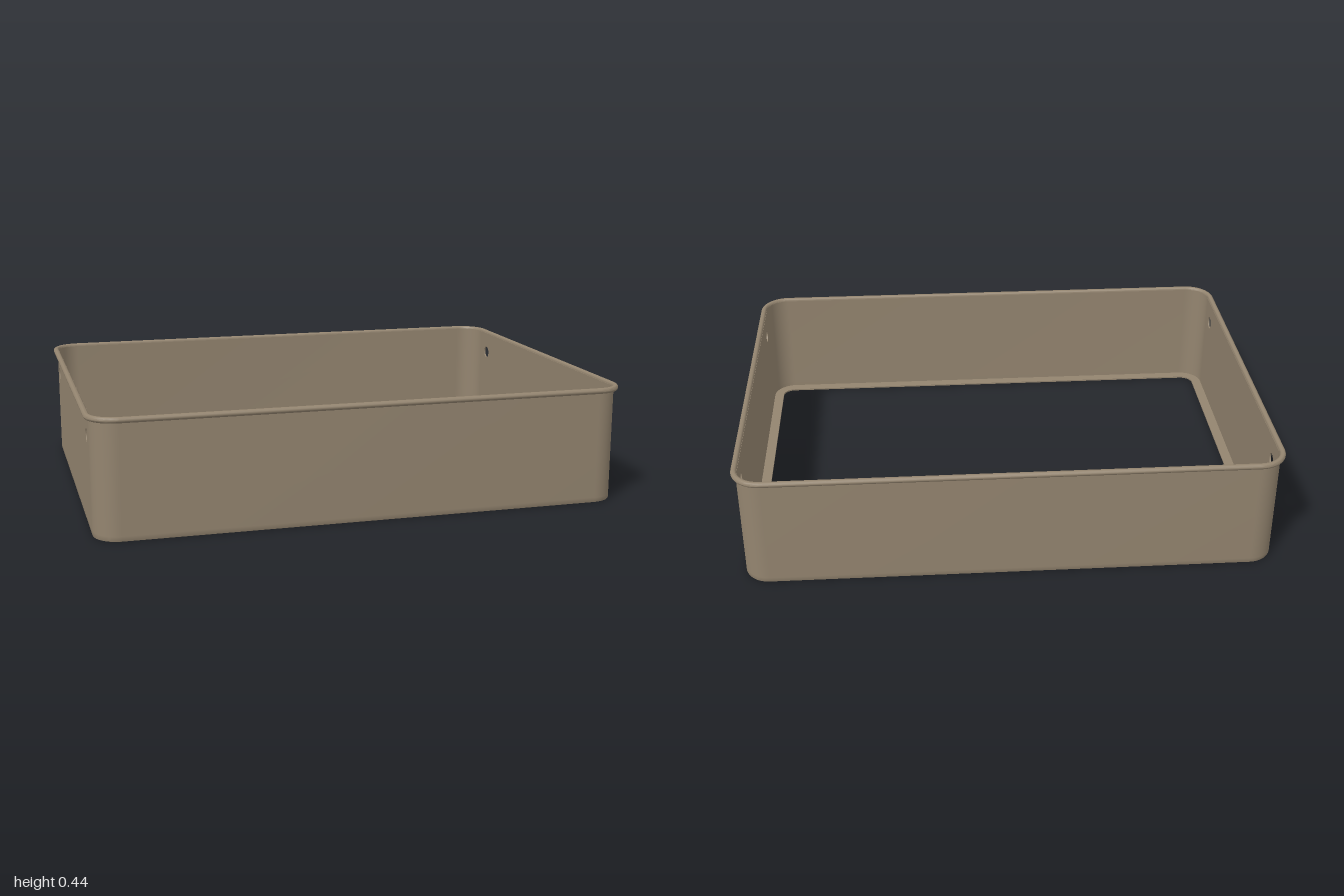
import * as THREE from 'three';
import { toCreasedNormals } from 'three/addons/utils/BufferGeometryUtils.js';

// Centres of the rounded corners; every section is offset outward from here
const CX = 0.89, CZ = 0.64;
const OUTER = 0.093, INNER = 0.087;
const WALL_BOTTOM = 0.02, WALL_TOP = 0.432;
const ARC_STEPS = 12;

// Path stations: corner centre plus direction, walking round the frame
function corners(count) {
  const stations = [];
  for (let k = 0; k < count; k++) {
    const sx = k === 0 || k === 3 ? 1 : -1;
    const sz = k < 2 ? 1 : -1;
    for (let i = 0; i <= ARC_STEPS; i++) {
      const a = (k + i / ARC_STEPS) * Math.PI / 2;
      stations.push([sx * CX, sz * CZ, Math.cos(a), Math.sin(a)]);
    }
  }
  return stations;
}

// Sweep a section of [offset, y] points along the stations
function sweep(section, stations) {
  const pos = [], index = [], n = section.length;
  for (const [x, z, c, s] of stations)
    for (const [d, y] of section) pos.push(x + d * c, y, z + d * s);
  for (let i = 0; i < stations.length - 1; i++)
    for (let j = 0; j < n - 1; j++) {
      const a = i * n + j, b = a + n;
      index.push(a, a + 1, b, a + 1, b + 1, b);
    }
  const geo = new THREE.BufferGeometry();
  geo.setAttribute('position', new THREE.Float32BufferAttribute(pos, 3));
  geo.setIndex(index);
  return toCreasedNormals(geo, 0.7);
}

export function createModel() {
  const model = new THREE.Group();
  model.name = 'openFrame';
  const material = new THREE.MeshStandardMaterial({ color: 0x93846f });

  const add = (name, geometry, turn = 0) => {
    const mesh = new THREE.Mesh(geometry, material);
    mesh.name = name;
    mesh.rotation.y = turn;
    model.add(mesh);
  };

  const loop = corners(4);
  loop.push(loop[0]);

  // Inward bottom flange with a softened outer edge
  add('bottomFlange', sweep([
    [INNER, WALL_BOTTOM], [INNER, 0.006], [0.048, 0.006], [0.048, 0],
    [0.088, 0], [0.0915, 0.0015], [OUTER, 0.005], [OUTER, WALL_BOTTOM],
  ], loop));

  // Rolled bead round the top edge
  const bead = [];
  for (let i = 0; i <= 16; i++) {
    const a = i / 16 * Math.PI * 2;
    bead.push([0.099 + 0.011 * Math.cos(a), 0.432 + 0.011 * Math.sin(a)]);
  }
  add('topBead', sweep(bead, loop));

  // Front and back walls, each with its two rounded corners
  const half = corners(2);
  const outerSkin = sweep([[OUTER, WALL_BOTTOM], [OUTER, WALL_TOP]], half);
  const innerSkin = sweep([[INNER, WALL_TOP], [INNER, WALL_BOTTOM]], half);

  // Flat side wall with two round holes
  const panel = new THREE.Shape();
  panel.moveTo(-CZ, WALL_BOTTOM);
  panel.lineTo(CZ, WALL_BOTTOM);
  panel.lineTo(CZ, WALL_TOP);
  panel.lineTo(-CZ, WALL_TOP);
  panel.closePath();
  for (const side of [-1, 1]) {
    const hole = new THREE.Path();
    hole.absarc(side * 0.565, 0.345, 0.025, 0, Math.PI * 2, true);
    panel.holes.push(hole);
  }
  const sideWall = new THREE.ExtrudeGeometry(panel, {
    depth: OUTER - INNER, bevelEnabled: false, curveSegments: 24,
  });
  sideWall.rotateY(Math.PI / 2).translate(CX + INNER, 0, 0);

  // The opposite half is the same, turned half way round
  [['front', 'left', 0], ['back', 'right', Math.PI]].forEach(([end, side, turn]) => {
    add(end + 'WallOuter', outerSkin, turn);
    add(end + 'WallInner', innerSkin, turn);
    add(side + 'Wall', sideWall, turn);
  });

  return model;
}
